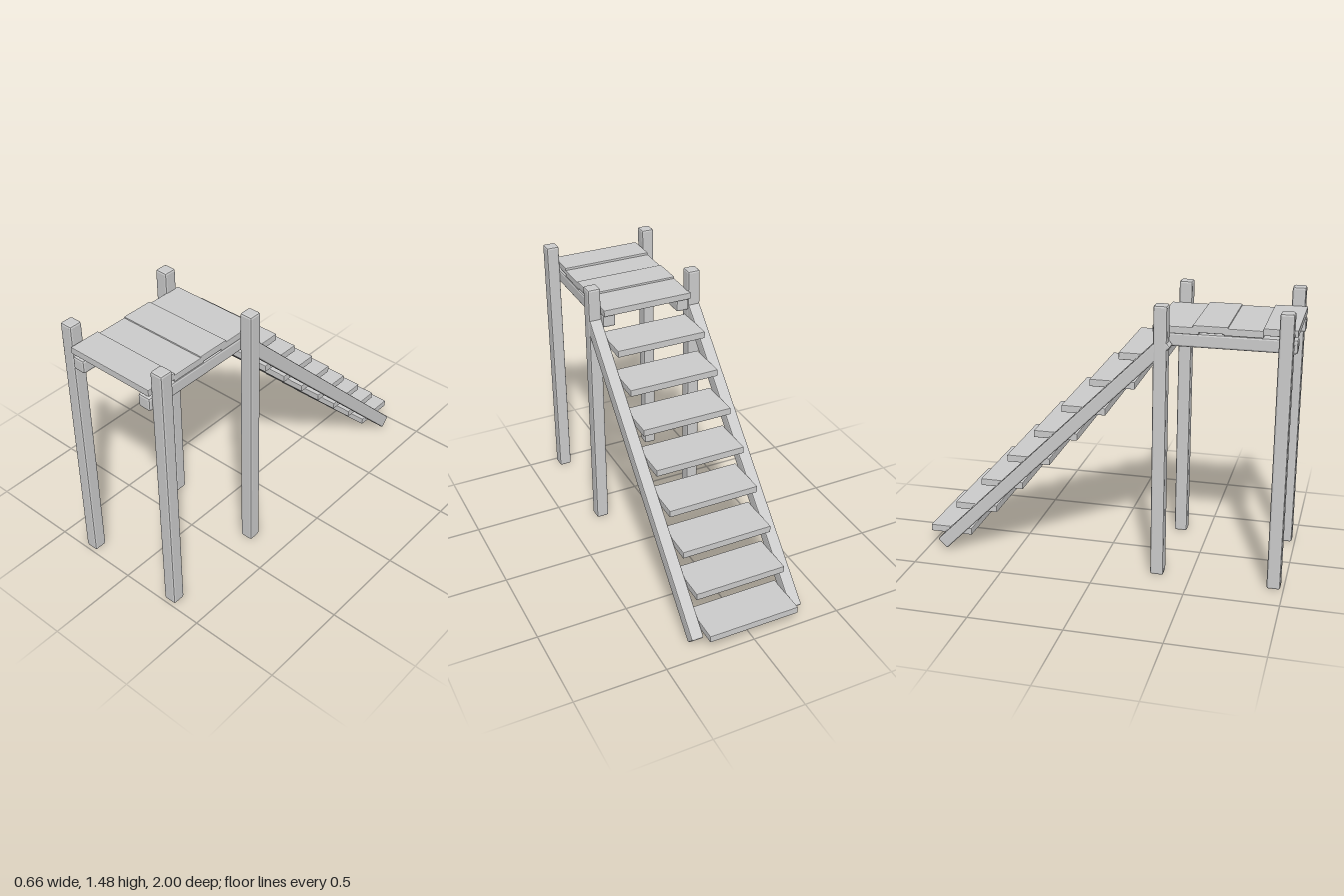
import * as THREE from 'three';
import { RoundedBoxGeometry } from 'three/addons/geometries/RoundedBoxGeometry.js';

const material = new THREE.MeshStandardMaterial({ color: 0xcccccc, flatShading: true });

// A length of timber with chamfered edges, centred on (x, y, z)
function timber(name, [w, h, d], [x, y, z], bevel) {
  const mesh = new THREE.Mesh(new RoundedBoxGeometry(w, h, d, 1, bevel), material);
  mesh.name = name;
  mesh.position.set(x, y, z);
  return mesh;
}

export function createModel() {
  const model = new THREE.Group();
  model.name = 'platformStairs';

  // Four posts, one standing slightly out of line
  const postHeight = 1.48;
  for (const [name, x, z] of [
    ['frontRightPost', -0.298, 0.947],
    ['frontLeftPost', 0.293, 0.947],
    ['backLeftPost', 0.293, 0.339],
    ['backRightPost', -0.286, 0.32],
  ]) {
    model.add(timber(name, [0.072, postHeight, 0.072], [x, postHeight / 2, z], 0.011));
  }

  // Two beams carrying the platform
  for (const [name, x] of [['rightBeam', -0.214], ['leftBeam', 0.222]]) {
    model.add(timber(name, [0.073, 0.073, 0.72], [x, 1.294, 0.638], 0.011));
  }

  // Platform planks, laid at slightly uneven heights
  const plankWidth = 0.512;
  const platform = new THREE.Group();
  platform.name = 'platform';
  for (const [zFront, zBack, top] of [
    [0.998, 0.825, 1.381],
    [0.828, 0.63, 1.368],
    [0.65, 0.472, 1.375],
    [0.505, 0.268, 1.364],
  ]) {
    platform.add(timber('plank', [plankWidth, 0.037, zFront - zBack],
      [0, top - 0.0185, (zFront + zBack) / 2], 0.004));
  }
  model.add(platform);

  // Eight treads climbing at 45 degrees
  const stairs = new THREE.Group();
  stairs.name = 'stairs';
  const pitch = 0.1558;
  for (let i = 0; i < 8; i++) {
    stairs.add(timber('tread', [plankWidth, 0.039, 0.241],
      [0, 0.098 + i * pitch, -0.878 + i * pitch], 0.004));
  }

  // Sloping stringers either side of the treads
  const low = new THREE.Vector3(0, 0.037, -0.91);
  const high = new THREE.Vector3(0, 1.296, 0.349);
  const middle = low.clone().add(high).multiplyScalar(0.5);
  for (const [name, x] of [['rightStringer', -0.286], ['leftStringer', 0.292]]) {
    const stringer = timber(name, [0.068, 0.072, low.distanceTo(high)], [x, middle.y, middle.z], 0.008);
    stringer.rotation.x = -Math.PI / 4;
    stairs.add(stringer);
  }
  model.add(stairs);

  return model;
}
